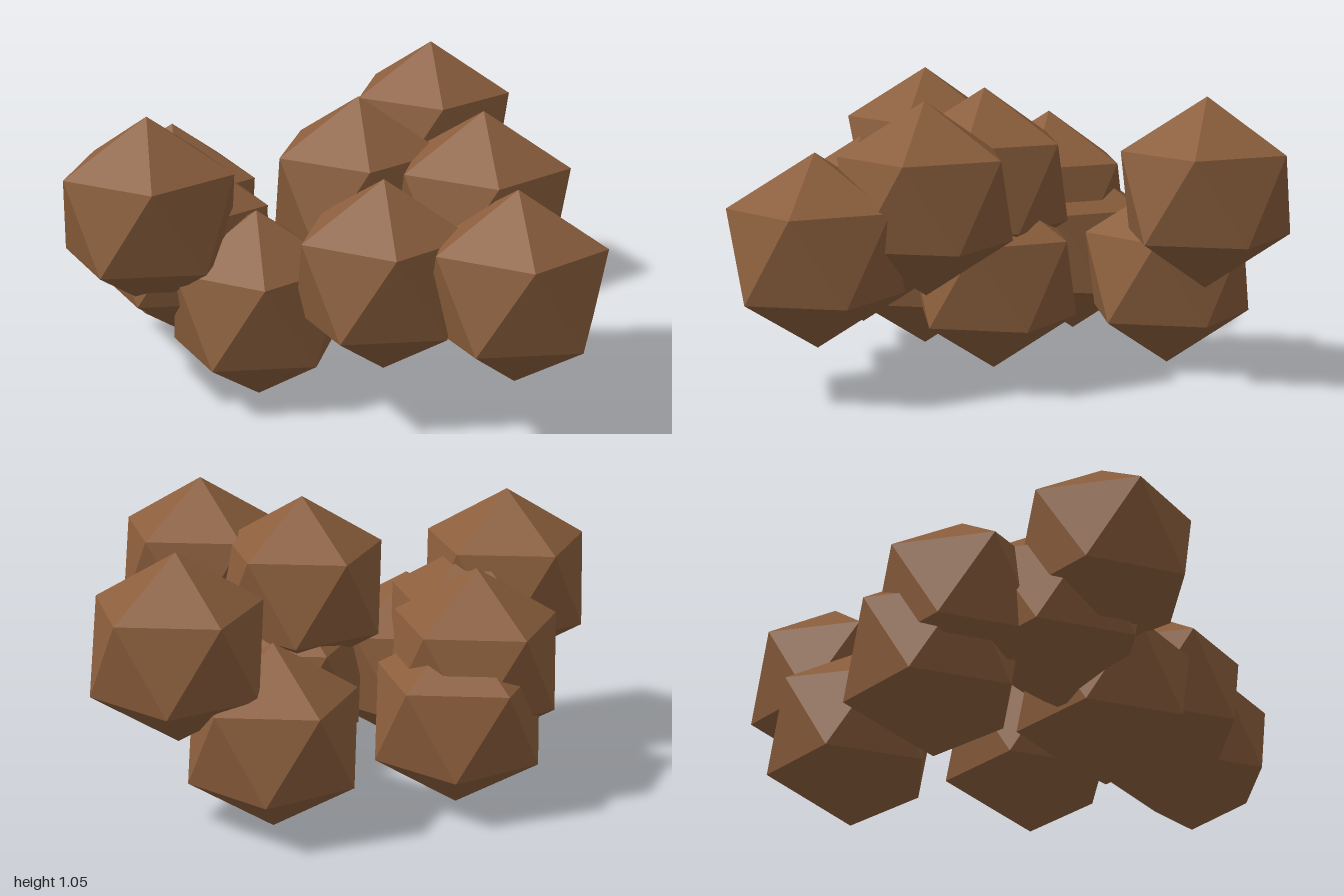
import * as THREE from 'three';

const RADIUS = 0.35;

// Centres of the lumps: x, y, z
const LUMPS = {
  bottom: [[-0.66, 0.35, -0.015], [-0.27, 0.35, 0.505], [-0.12, 0.35, -0.48], [0.1, 0.35, 0.145]],
  middle: [[-0.685, 0.53, 0.09], [-0.565, 0.53, 0.4], [0.21, 0.53, 0.62], [0.68, 0.53, 0.655]],
  top: [[-0.64, 0.7, 0.59], [0.04, 0.7, 0.19], [0.51, 0.7, 0.3], [0.17, 0.7, -0.66]],
};

export function createModel() {
  const group = new THREE.Group();
  group.name = 'lumpPile';

  const brown = new THREE.MeshStandardMaterial({ color: 0x8b5e3c, flatShading: true });
  brown.name = 'earthBrown';

  // Icosahedron turned so that one corner points straight up
  const geometry = new THREE.IcosahedronGeometry(RADIUS, 0);
  geometry.rotateZ(-Math.atan(2 / (1 + Math.sqrt(5))));

  for (const [layer, centres] of Object.entries(LUMPS)) {
    centres.forEach((centre, i) => {
      const lump = new THREE.Mesh(geometry, brown);
      lump.name = `${layer}Lump${i + 1}`;
      lump.position.set(...centre);
      group.add(lump);
    });
  }
  return group;
}
